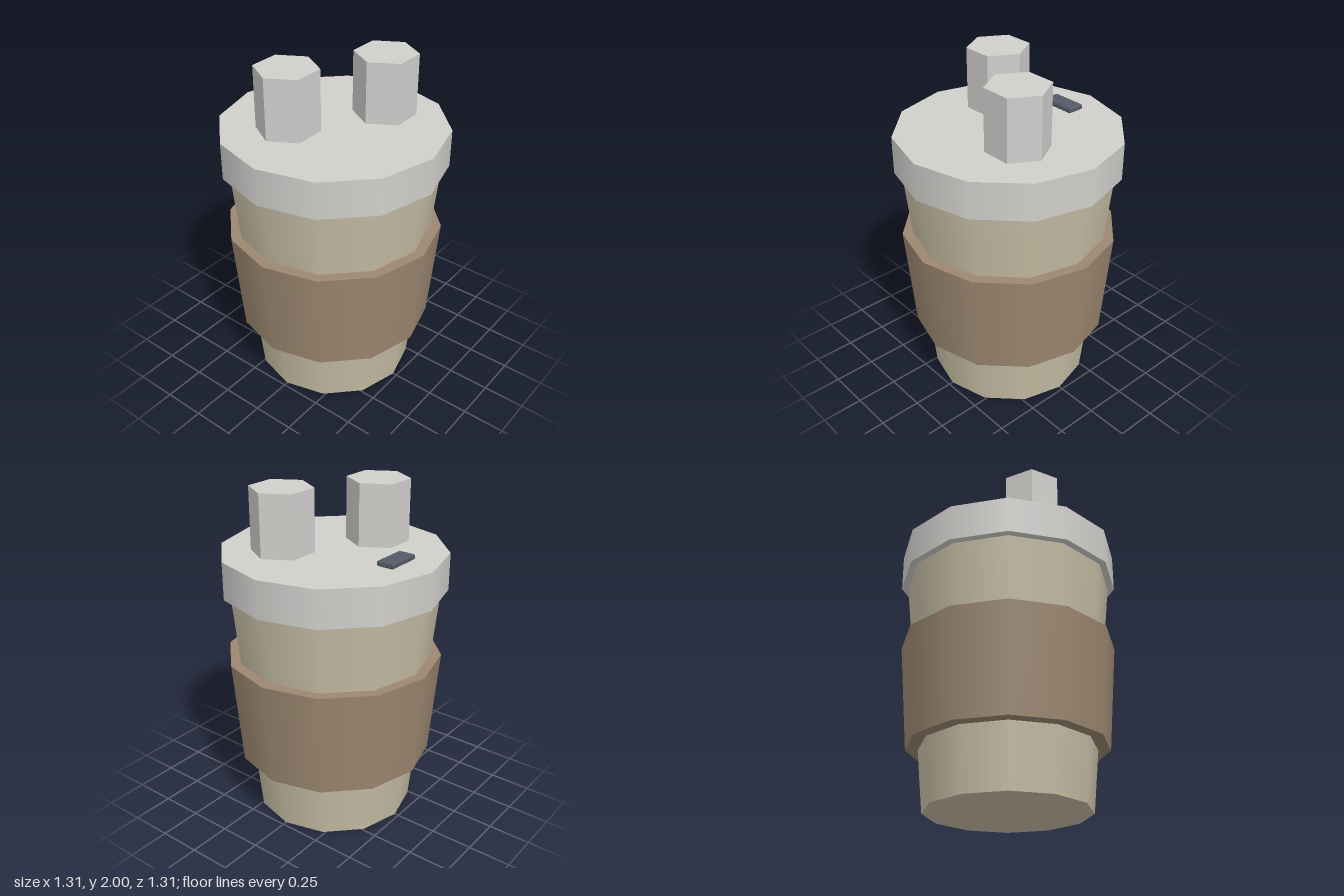
import * as THREE from 'three';

const flatColour = (name, color, flatShading = false) => {
  const m = new THREE.MeshStandardMaterial({ color });
  m.name = name;
  m.flatShading = flatShading;
  return m;
};

export function createModel() {
  const group = new THREE.Group();
  group.name = 'takeawayCup';

  const cream = flatColour('cream', 0xc6bda4);
  const brown = flatColour('brown', 0x9c8770);
  const grey = flatColour('grey', 0xd0cfcc);
  const slate = flatColour('slate', 0x555b67, true);

  const add = (name, geometry, material) => {
    const mesh = new THREE.Mesh(geometry, material);
    mesh.name = name;
    group.add(mesh);
    return mesh;
  };

  // Capped, twelve-sided section between two heights
  const section = (name, y0, y1, rBottom, rTop, material) => {
    const g = new THREE.CylinderGeometry(rTop, rBottom, y1 - y0, 12);
    add(name, g, material).position.y = (y0 + y1) / 2;
  };
  section('cupBody', 0, 1.4, 0.475, 0.615, cream);
  section('sleeve', 0.36, 0.993, 0.583, 0.636, brown);
  section('lid', 1.402, 1.622, 0.655, 0.655, grey);

  // Two hexagonal blocks hovering just above the lid, with faceted sides
  [['rightBlock', -0.239, -0.13], ['leftBlock', 0.254, 0.162]].forEach(([name, x, z]) => {
    const g = new THREE.CylinderGeometry(0.181, 0.181, 0.36, 6).rotateY(Math.PI / 6).toNonIndexed();
    g.computeVertexNormals();
    add(name, g, grey).position.set(x, 1.82, z);
  });

  // Sip tab with a small bevel, towards the back of the lid
  const w = 0.1, d = 0.045, b = 0.006;
  const outline = new THREE.Shape([
    new THREE.Vector2(-w, -d), new THREE.Vector2(w, -d),
    new THREE.Vector2(w, d), new THREE.Vector2(-w, d),
  ]);
  const tab = new THREE.ExtrudeGeometry(outline, {
    depth: 0.02, bevelEnabled: true, bevelSize: b, bevelThickness: b, bevelSegments: 1,
  });
  tab.rotateX(-Math.PI / 2);
  add('sipTab', tab, slate).position.set(0, 1.63, -0.422);

  return group;
}
